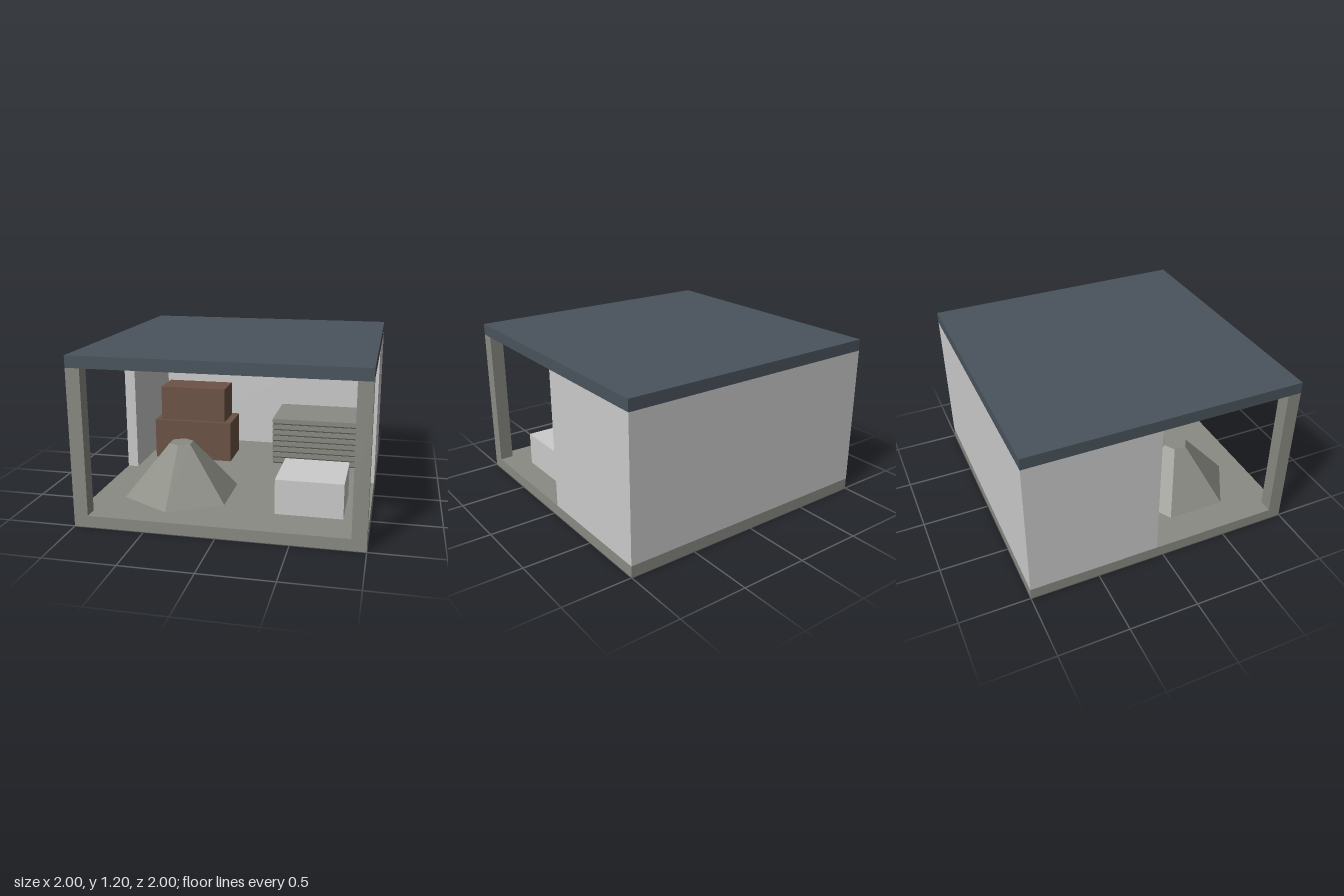
import * as THREE from 'three';

export function createModel() {
  const model = new THREE.Group();
  const mat = (name, color, extra = {}) => {
    const m = new THREE.MeshStandardMaterial({ color, ...extra });
    m.name = name;
    return m;
  };
  const concrete = mat('concrete', 0x8a8b83, { flatShading: true });
  const plaster = mat('pale plaster', 0xcccccc);
  const slate = mat('slate roof', 0x4a545c);
  const wood = mat('brown wood', 0x6c5345);
  const shadowGrey = mat('dark grey', 0x55564f);

  // Box given by its lower and upper limits on each axis
  const box = (name, material, [x0, x1], [y0, y1], [z0, z1], parent = model) => {
    const mesh = new THREE.Mesh(new THREE.BoxGeometry(x1 - x0, y1 - y0, z1 - z0), material);
    mesh.position.set((x0 + x1) / 2, (y0 + y1) / 2, (z0 + z1) / 2);
    mesh.name = name;
    parent.add(mesh);
    return mesh;
  };

  const floorTop = 0.083, ceiling = 1.117, t = 0.083;
  const storey = [floorTop, ceiling];

  // Building shell
  box('floorSlab', concrete, [-1, 1], [0, floorTop], [-1, 1]);
  box('roofSlab', slate, [-1, 1], [ceiling, 1.2], [-1, 1]);
  box('backWall', plaster, [-1, 1], storey, [-1, -1 + t]);
  for (const [side, s] of [['left', 1], ['right', -1]]) {
    const span = (a, b) => (s > 0 ? [a, b] : [-b, -a]);
    box(side + 'Wall', plaster, span(1 - t, 1), storey, [-1 + t, -0.05]);
    box(side + 'FrontPost', concrete, span(0.9, 1), storey, [0.9, 1]);
  }

  // Stacked wooden crates
  box('lowerCrate', wood, [-0.85, -0.2], [floorTop, 0.412], [-0.66, -0.325]);
  box('upperCrate', wood, [-0.8, -0.255], [0.412, 0.692], [-0.63, -0.355]);

  // Pale block near the front
  box('paleBlock', plaster, [0.35, 0.825], [floorTop, 0.335], [0.23, 0.7]);

  // Six-sided heap with a flat top
  const heap = new THREE.Mesh(new THREE.CylinderGeometry(0.09, 0.43, 0.382, 6), concrete);
  heap.position.set(-0.4, floorTop + 0.191, 0.4);
  heap.name = 'heap';
  model.add(heap);

  // Stack of slabs around a slightly recessed dark core
  const stack = new THREE.Group();
  stack.name = 'slabStack';
  model.add(stack);
  const count = 8, pitch = (0.465 - floorTop) / count;
  for (let i = 0; i < count; i++) {
    const y = floorTop + (i + 1) * pitch;
    box('slab' + (i + 1), concrete, [0.15, 0.845], [y - 0.037, y], [-0.865, -0.36], stack);
  }
  box('stackCore', shadowGrey, [0.155, 0.84], [floorTop, 0.45], [-0.86, -0.365], stack);

  return model;
}
